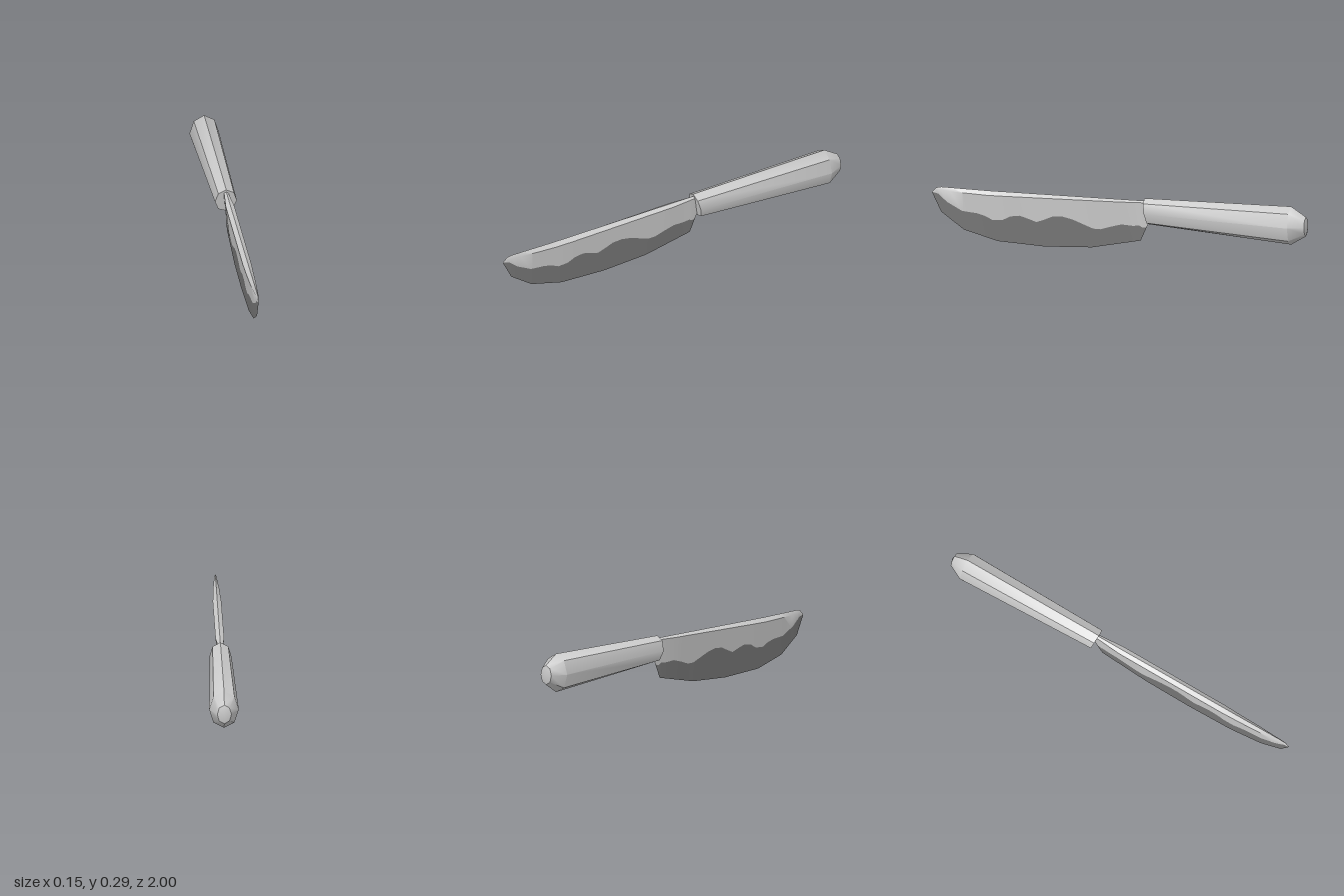
import * as THREE from 'three';
import { toCreasedNormals } from 'three/addons/utils/BufferGeometryUtils.js';

// Skins cross-sections (ordered by rising z); each runs clockwise from the top towards +x.
function loft(sections) {
  const pos = [];
  const tri = (...p) => {
    const [a, b, c] = p.map((q) => new THREE.Vector3(...q));
    if (b.clone().sub(a).cross(c.clone().sub(a)).length() < 1e-8) return;
    p.forEach((q) => pos.push(...q));
  };
  for (let i = 0; i < sections.length - 1; i++) {
    const s = sections[i], t = sections[i + 1];
    for (let j = 0; j < s.length - 1; j++) {
      tri(s[j], t[j], s[j + 1]);
      tri(t[j], t[j + 1], s[j + 1]);
    }
  }
  const geo = new THREE.BufferGeometry();
  geo.setAttribute('position', new THREE.Float32BufferAttribute(pos, 3));
  return toCreasedNormals(geo, 0.7);
}

// Linear interpolation through [z, value] pairs, sorted by z
function at(profile, z) {
  for (let i = 1; i < profile.length; i++) {
    const [z0, v0] = profile[i - 1], [z1, v1] = profile[i];
    if (z <= z1) return v0 + (v1 - v0) * Math.max(0, (z - z0) / (z1 - z0));
  }
  return profile[profile.length - 1][1];
}

// Blade outlines along z
const ridge = [[-0.16, 0.272], [0.7, 0.274], [0.95, 0.279], [0.975, 0.274], [1, 0.25]];
const shoulder = [[-0.16, 0.264], [0.3, 0.258], [0.7, 0.253], [0.9, 0.26], [0.975, 0.268], [1, 0.25]];
const halfWidth = [[-0.16, 0.012], [-0.12, 0.012], [0, 0.022], [0.6, 0.022], [0.8, 0.016], [0.95, 0.007], [1, 0]];
const edge = [[-0.16, 0.175], [-0.155, 0.165], [-0.11, 0.065], [0.15, 0.014], [0.4, 0.003],
  [0.65, 0.016], [0.83, 0.065], [0.95, 0.15], [1, 0.25]];
const wave = [[-0.16, 0.1], [-0.142, 0.118], [-0.105, 0.143], [-0.07, 0.14], [-0.01, 0.144], [0.05, 0.128],
  [0.1, 0.112], [0.14, 0.113], [0.195, 0.134], [0.25, 0.155], [0.3, 0.166], [0.355, 0.163], [0.4, 0.144],
  [0.44, 0.129], [0.485, 0.144], [0.53, 0.157], [0.58, 0.15], [0.62, 0.129], [0.675, 0.125], [0.715, 0.144],
  [0.757, 0.155], [0.837, 0.162], [0.917, 0.203], [0.965, 0.243], [1, 0.25]];

function bladeSections() {
  const zs = [...new Set([ridge, shoulder, halfWidth, edge, wave].flat().map((p) => p[0]))].sort((a, b) => a - b);
  const upper = [], lower = [];
  for (const z of zs) {
    const r = at(ridge, z), s = at(shoulder, z), w = at(halfWidth, z), e = at(edge, z);
    const m = Math.min(s, Math.max(e, at(wave, z)));
    const mx = s - e > 1e-5 ? w * (m - e) / (s - e) : 0;
    upper.push([[-mx, m, z], [-w, s, z], [0, r, z], [w, s, z], [mx, m, z]]);
    lower.push([[mx, m, z], [0, e, z], [-mx, m, z]]);
  }
  return { upper, lower };
}

// Eight-sided handle ring from its right half: [x, y] from top to bottom, z leaning with height
function ring(half, zOf) {
  const left = half.slice(0, -1).reverse().map(([x, y]) => [-x, y]);
  return [...half, ...left].map(([x, y]) => [x, y, zOf(y)]);
}

export function createModel() {
  const steel = new THREE.MeshStandardMaterial({ color: 0xcccccc });
  steel.name = 'light steel';
  const ground = new THREE.MeshStandardMaterial({ color: 0x787878 });
  ground.name = 'dark edge steel';

  const group = new THREE.Group();
  group.name = 'knife';
  const add = (name, sections, material) => {
    const mesh = new THREE.Mesh(loft(sections), material);
    mesh.name = name;
    group.add(mesh);
  };

  // Blade: light body and dark wavy cutting band
  const { upper, lower } = bladeSections();
  add('bladeBody', upper, steel);
  add('bladeEdge', lower, ground);

  // Handle: butt cap, butt bevel, tapering grip and slanted front cap
  const point = (y, z) => Array(9).fill([0, y, z]);
  add('handle', [
    point(0.19, -1),
    ring([[0, 0.24], [0.026, 0.225], [0.036, 0.19], [0.026, 0.155], [0, 0.14]], () => -0.988),
    ring([[0, 0.29], [0.053, 0.26], [0.075, 0.19], [0.053, 0.12], [0, 0.093]], () => -0.91),
    ring([[0, 0.285], [0.04, 0.264], [0.056, 0.213], [0.038, 0.165], [0, 0.152]],
      (y) => -0.13 - (0.285 - y) * 0.19),
    point(0.215, -0.143),
  ], steel);

  return group;
}
